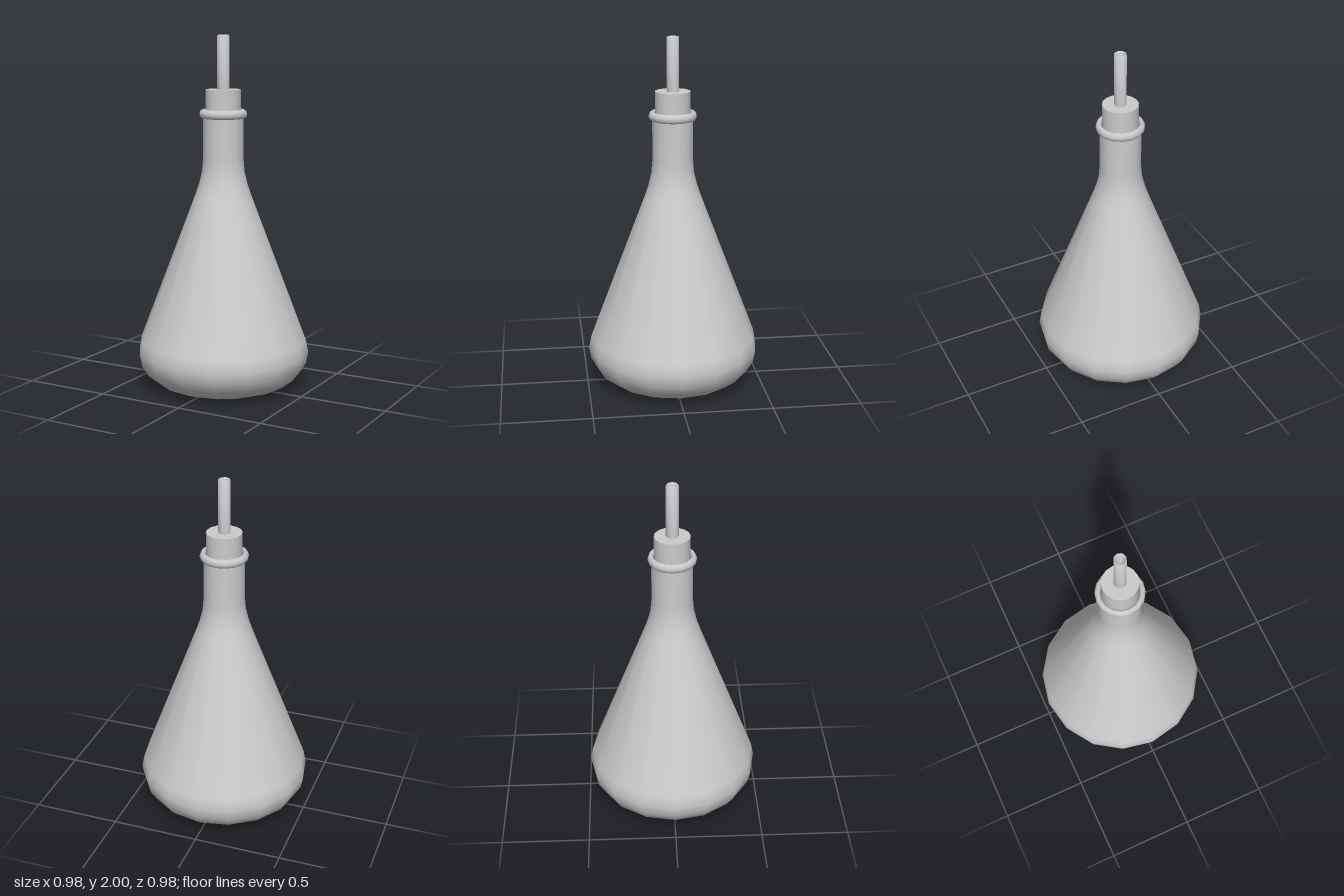
import * as THREE from 'three';
import { toCreasedNormals } from 'three/addons/utils/BufferGeometryUtils.js';

export function createModel() {
  const model = new THREE.Group();
  const material = new THREE.MeshStandardMaterial({ color: 0xcccccc, side: THREE.DoubleSide });

  // Turns a profile of [radius, height] pairs around the y axis
  function turned(name, profile, sides, crease) {
    let geometry = new THREE.LatheGeometry(profile.map(([r, y]) => new THREE.Vector2(r, y)), sides);
    if (crease) geometry = toCreasedNormals(geometry, crease);
    const mesh = new THREE.Mesh(geometry, material);
    mesh.name = name;
    model.add(mesh);
  }

  // Conical flask: flat base, rounded shoulder, straight cone and flared neck
  turned('flaskBody', [
    [0, 0], [0.29, 0], [0.31, 0.007], [0.38, 0.033], [0.44, 0.08], [0.478, 0.14],
    [0.49, 0.205], [0.476, 0.275],
    [0.16, 1.105], [0.138, 1.17], [0.121, 1.24], [0.115, 1.31], [0.114, 1.545],
  ], 16);

  // Rolled lip, continuing a little way down inside the neck
  turned('flaskLip', [
    [0.114, 1.538], [0.126, 1.542], [0.133, 1.553], [0.134, 1.567], [0.128, 1.582],
    [0.117, 1.589], [0.107, 1.584], [0.102, 1.57], [0.101, 1.5],
  ], 16);

  // Stopper plugged into the neck
  turned('stopper', [[0, 1.46], [0.099, 1.46], [0.099, 1.7], [0, 1.7]], 16, 0.7);

  // Hollow glass tube rising from the stopper
  turned('tube', [
    [0.035, 1.69], [0.035, 1.995], [0.031, 2], [0.025, 1.995], [0.025, 1.69],
  ], 8, 1);

  return model;
}
